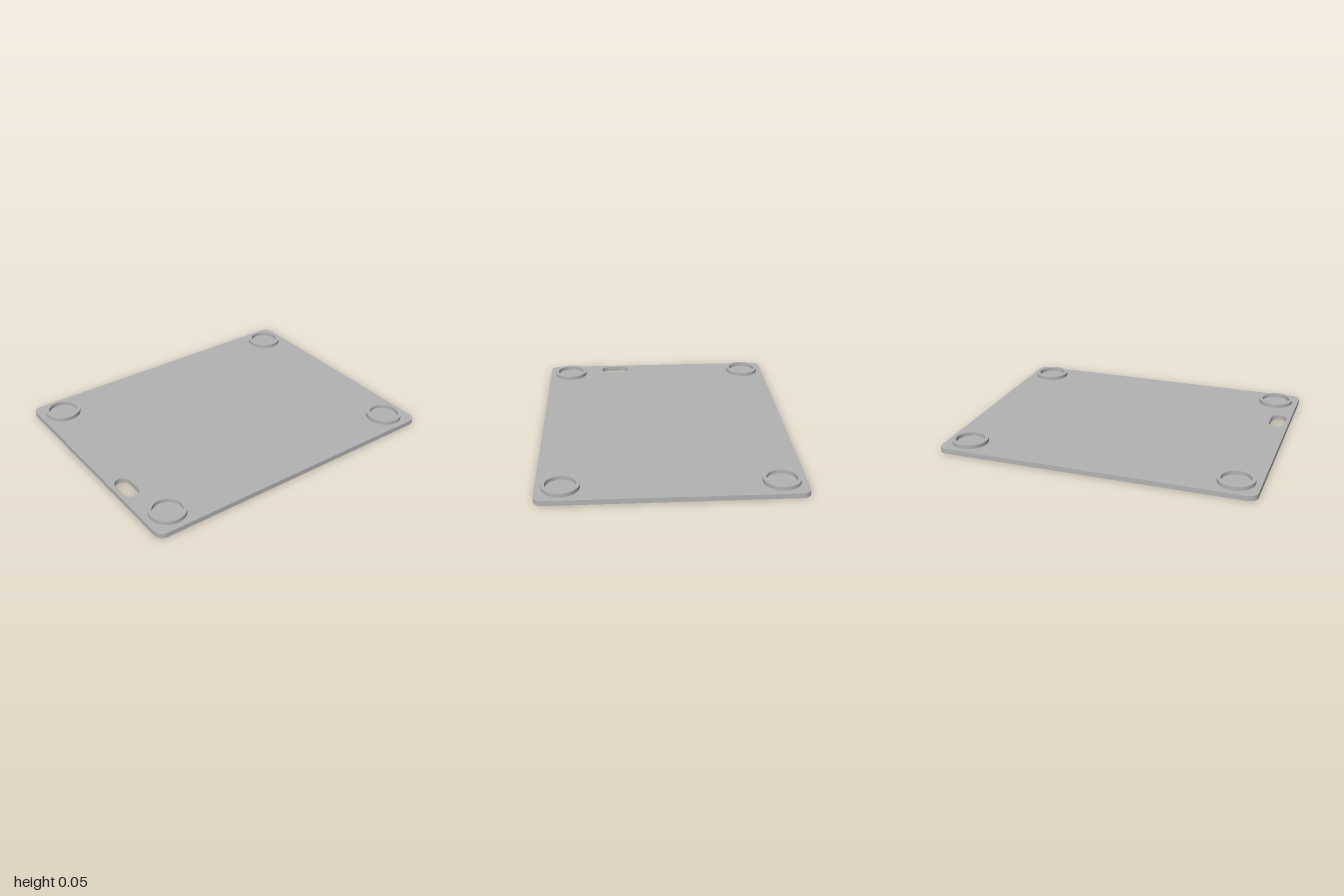
import * as THREE from 'three';
import { toCreasedNormals } from 'three/addons/utils/BufferGeometryUtils.js';

const PLATE_TOP = 0.031, RING_TOP = 0.055;

// Rounded rectangle outline; shape y maps to -z once laid flat
function roundedRect(path, cx, cy, w, h, r) {
  const x = w / 2 - r, y = h / 2 - r;
  path.absarc(cx + x, cy + y, r, 0, Math.PI / 2);
  path.absarc(cx - x, cy + y, r, Math.PI / 2, Math.PI);
  path.absarc(cx - x, cy - y, r, Math.PI, Math.PI * 1.5);
  path.absarc(cx + x, cy - y, r, Math.PI * 1.5, Math.PI * 2);
  path.closePath();
  return path;
}

// Extrude a shape upward from y = base, with smooth curved walls
function slab(shape, base, height, curveSegments) {
  const geometry = new THREE.ExtrudeGeometry(shape, { depth: height, bevelEnabled: false, curveSegments });
  geometry.rotateX(-Math.PI / 2).translate(0, base, 0);
  return toCreasedNormals(geometry, 0.6);
}

export function createModel() {
  const model = new THREE.Group();
  model.name = 'basePlate';
  const grey = new THREE.MeshStandardMaterial({ color: 0xb2b2b2 });
  grey.name = 'grey';

  // Plate with a rounded slot near its right edge
  const outline = roundedRect(new THREE.Shape(), 0, 0, 2, 1.58, 0.053);
  outline.holes.push(roundedRect(new THREE.Path(), -0.923, -0.311, 0.098, 0.195, 0.0485));
  const plate = new THREE.Mesh(slab(outline, 0, PLATE_TOP, 12), grey);
  plate.name = 'plate';
  model.add(plate);

  // Raised ring at each corner
  const ringShape = new THREE.Shape().absarc(0, 0, 0.113, 0, Math.PI * 2);
  ringShape.holes.push(new THREE.Path().absarc(0, 0, 0.091, 0, Math.PI * 2, true));
  const ringGeometry = slab(ringShape, PLATE_TOP, RING_TOP - PLATE_TOP, 48);
  for (const [sx, side] of [[1, 'Left'], [-1, 'Right']]) {
    for (const [sz, end] of [[1, 'front'], [-1, 'back']]) {
      const ring = new THREE.Mesh(ringGeometry, grey);
      ring.name = `${end}${side}Ring`;
      ring.position.set(sx * 0.851, 0, sz * 0.641);
      model.add(ring);
    }
  }
  return model;
}
